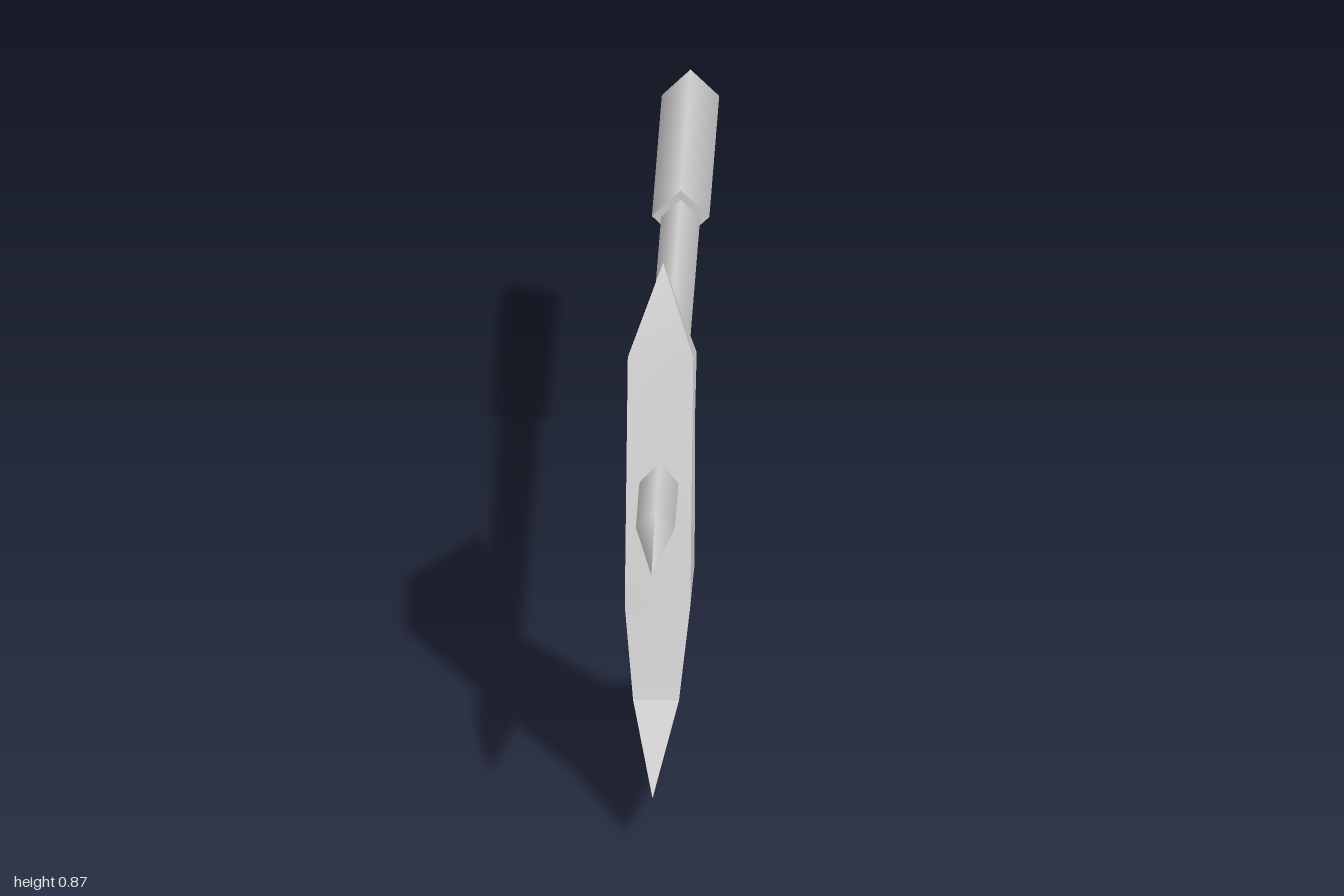
import * as THREE from 'three';
import { toCreasedNormals } from 'three/addons/utils/BufferGeometryUtils.js';

const steel = new THREE.MeshStandardMaterial({ color: 0xcccccc });
steel.name = 'steel';

// Four-sided bar lying along z, running from z0 (back) to z1 (front)
function bar(name, frontRadius, backRadius, z0, z1, y, openEnded = false) {
  const geometry = new THREE.CylinderGeometry(frontRadius, backRadius, z1 - z0, 4, 1, openEnded);
  geometry.rotateX(Math.PI / 2);
  const mesh = new THREE.Mesh(geometry, steel);
  mesh.name = name;
  mesh.position.set(0, y, (z0 + z1) / 2);
  return mesh;
}

// Axe head: side outline as [z, y, half thickness], thinning to zero at edges and points
function axeHead() {
  const outline = [
    [0.945, 0.094, 0], [0.61, 0.003, 0], [0.25, 0.035, 0],                 // cutting edge
    [0.405, 0.174, 0.038], [0.46, 0.324, 0.057], [0.457, 0.585, 0.057],    // back of neck
    [0.358, 0.68, 0.057], [0.06, 0.638, 0], [0.4, 0.87, 0],                // hooked spike
    [0.535, 0.75, 0.057], [0.69, 0.345, 0.057], [0.765, 0.2, 0.04],        // front of neck
  ];
  const sideFaces = [
    [0, 1, 11], [1, 3, 11], [1, 2, 3], [3, 4, 10], [3, 10, 11],
    [4, 5, 9], [4, 9, 10], [5, 6, 9], [6, 8, 9], [6, 7, 8],
  ];
  const n = outline.length;
  const positions = [];
  const corner = (i, side) => {
    const [z, y, half] = outline[i];
    positions.push(side * half, y, z);
  };

  // Mirrored cheeks
  for (const [a, b, c] of sideFaces) {
    [a, b, c].forEach((i) => corner(i, 1));
    [a, c, b].forEach((i) => corner(i, -1));
  }
  // Rim between the cheeks, left out where they meet in a sharp edge
  for (let i = 0; i < n; i++) {
    const j = (i + 1) % n;
    if (outline[i][2] > 0) { corner(i, 1); corner(i, -1); corner(j, -1); }
    if (outline[j][2] > 0) { corner(i, 1); corner(j, -1); corner(j, 1); }
  }

  const geometry = new THREE.BufferGeometry();
  geometry.setAttribute('position', new THREE.Float32BufferAttribute(positions, 3));
  const mesh = new THREE.Mesh(toCreasedNormals(geometry, 0.5), steel);
  mesh.name = 'axeHead';
  return mesh;
}

export function createModel() {
  const model = new THREE.Group();
  model.name = 'battleAxe';
  model.add(
    axeHead(),
    bar('shaft', 0.034, 0.034, -0.52, 0.8, 0.546),
    bar('shaftPoint', 0, 0.034, 0.8, 1, 0.546, true),
    bar('grip', 0.05, 0.05, -1, -0.495, 0.548),
  );
  return model;
}
